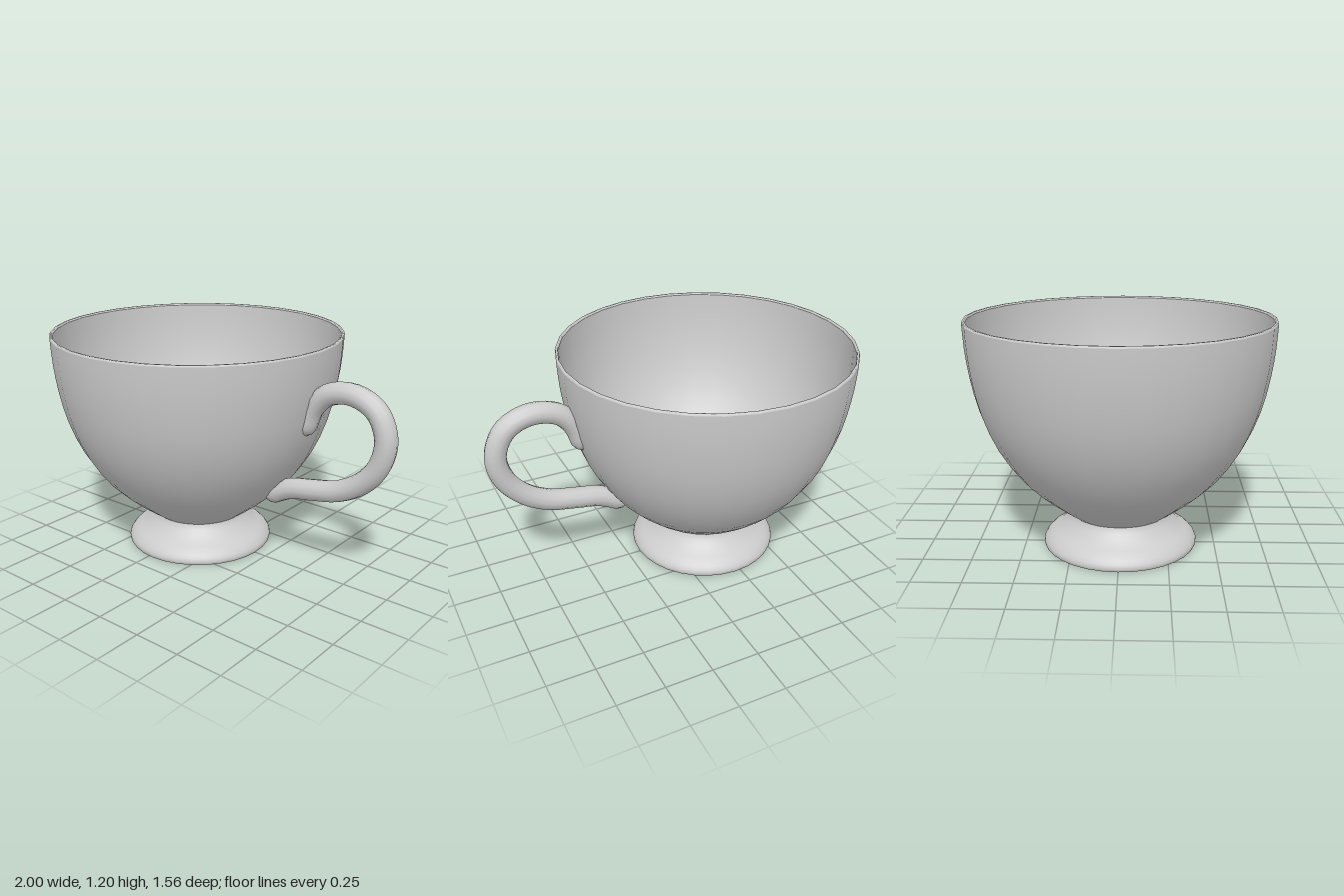
import * as THREE from 'three';
import { mergeVertices } from 'three/addons/utils/BufferGeometryUtils.js';

const AXIS_X = -0.22;   // the bowl's axis
const SIDES = 32;
const v2 = ([x, y]) => new THREE.Vector2(x, y);

// Outer wall of the bowl as [radius, height], foot to rim
const wall = new THREE.SplineCurve([
  [0.26, 0.175], [0.385, 0.27], [0.52, 0.395], [0.64, 0.57],
  [0.715, 0.75], [0.755, 0.92], [0.775, 1.07], [0.782, 1.195],
].map(v2)).getPoints(14);

// Radius of the outer wall at a height
function wallRadius(y) {
  for (let i = 1; i < wall.length; i++) {
    const a = wall[i - 1], b = wall[i];
    if (y <= b.y) return THREE.MathUtils.mapLinear(Math.max(y, a.y), a.y, b.y, a.x, b.x);
  }
  return wall[wall.length - 1].x;
}

export function createModel() {
  const group = new THREE.Group();
  const china = new THREE.MeshStandardMaterial({ color: 0xcccccc });
  china.name = 'light grey china';

  const add = (name, geometry, x = 0) => {
    const mesh = new THREE.Mesh(geometry, china);
    mesh.name = name;
    mesh.position.x = x;
    group.add(mesh);
  };
  const lathe = (name, points) => add(name, new THREE.LatheGeometry(points, SIDES), AXIS_X);

  // Bowl: outside, rim, and inside with a rounded floor
  lathe('bowlOutside', wall);
  lathe('bowlRim', [[0.782, 1.195], [0.779, 1.204], [0.769, 1.204], [0.766, 1.195]].map(v2));
  lathe('bowlInside', new THREE.SplineCurve([
    [0.766, 1.195], [0.759, 1.07], [0.739, 0.92], [0.698, 0.75], [0.622, 0.57],
    [0.5, 0.405], [0.365, 0.285], [0.22, 0.21], [0.1, 0.19], [0, 0.187],
  ].map(v2)).getPoints(18));

  // Foot: flared side and flat base
  lathe('foot', new THREE.SplineCurve([
    [0.4, 0], [0.405, 0.012], [0.4, 0.035], [0.37, 0.068],
    [0.32, 0.1], [0.285, 0.135], [0.268, 0.158], [0.26, 0.178],
  ].map(v2)).getPoints(14));
  lathe('footBase', [[0, 0], [0.4, 0]].map(v2));

  // Handle: a curled tube, rounded at its ends and trimmed at the bowl's wall
  const path = new THREE.CatmullRomCurve3([
    [0.475, 0.75], [0.495, 0.82], [0.53, 0.91], [0.61, 0.99], [0.75, 1.017], [0.88, 0.96],
    [0.939, 0.83], [0.91, 0.69], [0.82, 0.58], [0.69, 0.506], [0.54, 0.473],
    [0.42, 0.45], [0.33, 0.41], [0.25, 0.36],
  ].map(([x, y]) => new THREE.Vector3(x, y, 0)));
  const rings = 52, around = 12;
  const tube = new THREE.TubeGeometry(path, rings, 0.056, around);
  const pos = tube.attributes.position, p = new THREE.Vector3();
  for (let i = 0; i < pos.count; i++) {
    const ring = Math.floor(i / (around + 1));
    const fromEnd = Math.min(ring, rings - ring);
    const centre = path.getPointAt(ring / rings);
    p.fromBufferAttribute(pos, i).sub(centre);
    p.multiplyScalar([0, 0.75][fromEnd] ?? 1).add(centre);
    const dx = p.x - AXIS_X, r = Math.hypot(dx, p.z);
    const k = Math.max(1, (wallRadius(p.y) - 0.009) / r);
    pos.setXYZ(i, AXIS_X + dx * k, p.y, p.z * k);
  }
  tube.deleteAttribute('uv');
  tube.deleteAttribute('normal');
  const handle = mergeVertices(tube, 1e-5);
  handle.computeVertexNormals();
  add('handle', handle);

  return group;
}
